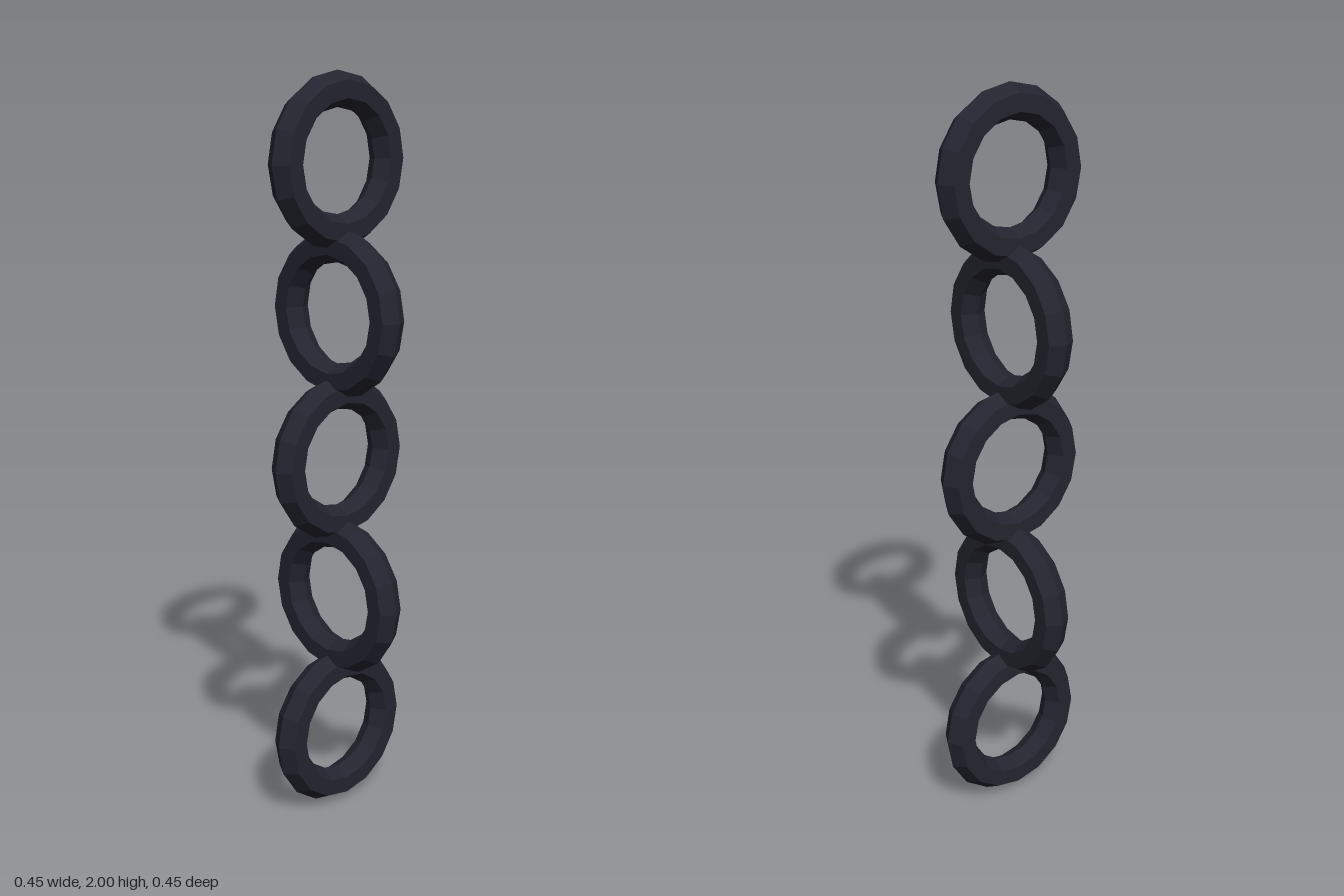
import * as THREE from 'three';

export function createModel() {
  const group = new THREE.Group();
  group.name = 'chain';

  const darkIron = new THREE.MeshStandardMaterial({ color: 0x242430 });
  darkIron.name = 'darkIron';

  const ringRadius = 0.178;
  const tubeRadius = 0.0453;
  const spacing = 0.3884;

  // hexagonal-section ring with faceted faces
  const torus = new THREE.TorusGeometry(ringRadius, tubeRadius, 6, 16).toNonIndexed();
  torus.computeVertexNormals();

  // five links, each turned a quarter turn from the one below
  for (let i = 0; i < 5; i++) {
    const link = new THREE.Mesh(torus, darkIron);
    link.name = `link${i + 1}`;
    link.position.y = ringRadius + tubeRadius + i * spacing;
    link.rotation.y = (i % 2) * Math.PI / 2;
    group.add(link);
  }
  return group;
}
